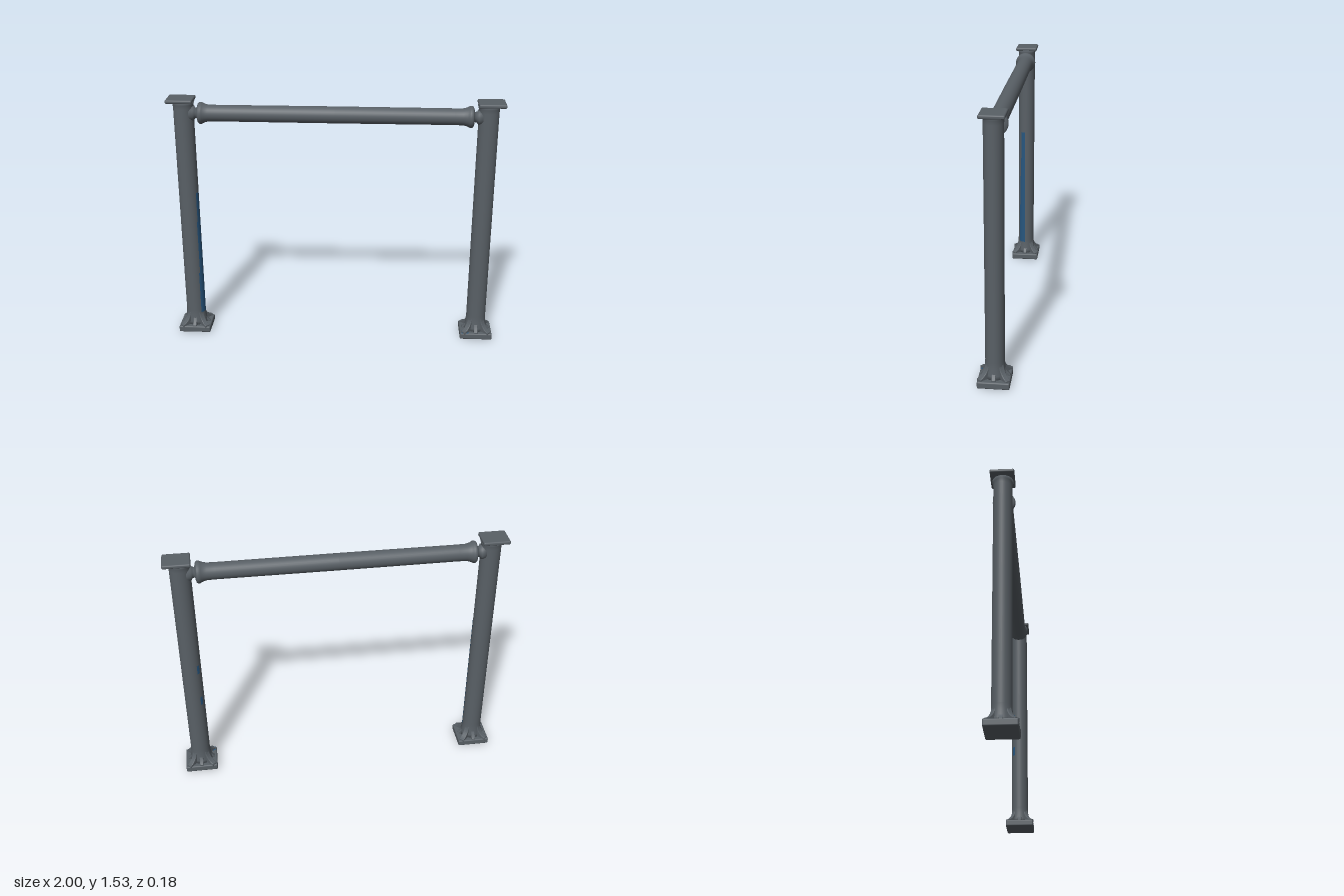
import * as THREE from 'three';
import { RoundedBoxGeometry } from 'three/addons/geometries/RoundedBoxGeometry.js';

const V = (x, y) => new THREE.Vector2(x, y);

export function createModel() {
  const root = new THREE.Group();
  root.name = 'pipeFrame';
  const steel = new THREE.MeshStandardMaterial({ color: 0x596066 });
  steel.name = 'grey steel';
  const blue = new THREE.MeshStandardMaterial({ color: 0x27567f, side: THREE.DoubleSide });
  blue.name = 'blue paint';

  const add = (parent, name, geometry, material, x = 0, y = 0, z = 0) => {
    const mesh = new THREE.Mesh(geometry, material);
    mesh.name = name;
    mesh.position.set(x, y, z);
    parent.add(mesh);
    return mesh;
  };

  // Post profile: slight flare into the base plate and under the cap
  const RX = 0.06, RZ = 0.054;
  const postProfile = [
    V(0, 0.03), V(0.072, 0.03), V(0.068, 0.06), V(0.062, 0.1), V(0.06, 0.14),
    V(0.06, 1.47), V(0.062, 1.495), V(0.068, 1.515), V(0, 1.515),
  ];
  const postGeometry = new THREE.LatheGeometry(postProfile, 32);
  postGeometry.scale(1, 1, RZ / RX);

  // Curved gusset that runs from the post out onto the base plate
  const gusset = (reach, height, width) => {
    const s = new THREE.Shape();
    s.moveTo(0.035, 0.03);
    s.lineTo(reach, 0.03);
    s.lineTo(reach, 0.045);
    s.quadraticCurveTo(0.066, 0.06, 0.052, height);
    s.lineTo(0.035, height);
    s.closePath();
    const g = new THREE.ExtrudeGeometry(s, {
      depth: width - 0.008, bevelEnabled: true, bevelSize: 0.004,
      bevelThickness: 0.004, bevelSegments: 2, curveSegments: 8,
    });
    g.translate(0, 0, -(width - 0.008) / 2);
    return g;
  };
  const cornerGusset = gusset(0.112, 0.118, 0.032);
  const sideGusset = gusset(0.082, 0.088, 0.024);

  for (const side of [-1, 1]) {
    const post = new THREE.Group();
    post.name = side < 0 ? 'rightPost' : 'leftPost';
    post.position.x = side * 0.9;
    root.add(post);

    add(post, 'postTube', postGeometry, steel);
    add(post, 'basePlate', new RoundedBoxGeometry(0.2, 0.04, 0.18, 3, 0.008), steel, 0, 0.02);
    add(post, 'capPlate', new RoundedBoxGeometry(0.16, 0.022, 0.138, 3, 0.008), steel, side * 0.015, 1.521);
    for (let i = 0; i < 8; i++) {
      const rib = add(post, 'baseGusset', i % 2 ? cornerGusset : sideGusset, steel);
      rib.rotation.y = (i * Math.PI) / 4;
    }
  }

  // Crossbeam with its necks and end collars, one continuous turned profile
  const half = [
    [0.022, 0.87], [0.046, 0.865], [0.046, 0.84], [0.032, 0.831], [0.03, 0.818],
    [0.046, 0.815], [0.06, 0.81], [0.065, 0.803], [0.065, 0.792], [0.061, 0.785],
    [0.055, 0.772], [0.05, 0.75], [0.049, 0.7],
  ];
  const beamProfile = [
    ...half.map(([r, a]) => V(r, -a)), V(0.05, 0),
    ...half.slice().reverse().map(([r, a]) => V(r, a)),
  ];
  const beam = add(root, 'crossbeam', new THREE.LatheGeometry(beamProfile, 32), steel, 0, 1.44, 0);
  beam.rotation.z = -Math.PI / 2;

  // Thin curved paint patch on a post; angle runs from +x towards +z
  const patch = (name, x, y0, y1, a0, a1) => {
    const g = new THREE.CylinderGeometry(
      0.0612, 0.0612, y1 - y0, 8, 1, true, Math.PI / 2 - a1, a1 - a0);
    g.scale(1, 1, RZ / RX);
    add(root, name, g, blue, x, (y0 + y1) / 2);
  };
  patch('paintStreakLower', -0.9, 0.12, 0.4, 0.05, 0.85);
  patch('paintStreakMiddle', -0.9, 0.4, 0.75, 0.08, 0.72);
  patch('paintStreakUpper', -0.9, 0.75, 0.94, 0.12, 0.62);
  patch('paintSpotUpper', 0.9, 0.75, 0.81, Math.PI * 1.2, Math.PI * 1.3);
  patch('paintSpotLower', 0.9, 0.51, 0.57, Math.PI * 1.2, Math.PI * 1.3);
  add(root, 'basePaint', new THREE.BoxGeometry(0.045, 0.003, 0.032), blue, 0.832, 0.04, 0.068);

  return root;
}
